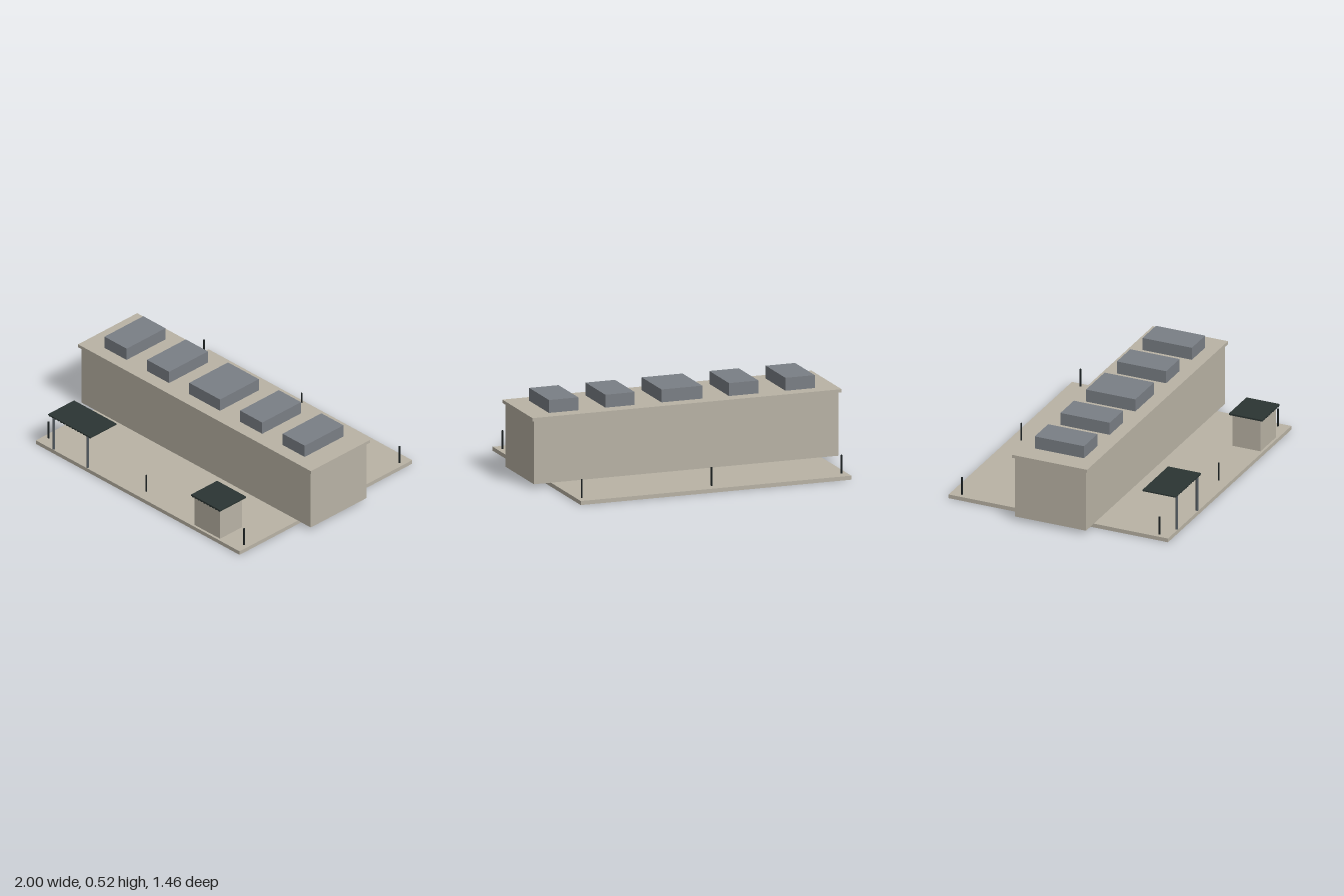
import * as THREE from 'three';

export function createModel() {
  const model = new THREE.Group();
  model.name = 'terminalBuilding';

  const material = (name, color) => {
    const m = new THREE.MeshStandardMaterial({ color });
    m.name = name;
    return m;
  };
  const concrete = material('concrete', 0xb9b3a5);
  const greyMetal = material('grey metal', 0x7a7f85);
  const darkRoof = material('dark roofing', 0x2b3533);
  const postSteel = material('post steel', 0x555c62);
  const black = material('black', 0x1b2122);

  // Box given by its lower and upper limits on each axis
  const box = (name, mat, [x0, x1], [y0, y1], [z0, z1], parent = model) => {
    const mesh = new THREE.Mesh(new THREE.BoxGeometry(x1 - x0, y1 - y0, z1 - z0), mat);
    mesh.position.set((x0 + x1) / 2, (y0 + y1) / 2, (z0 + z1) / 2);
    mesh.name = name;
    parent.add(mesh);
    return mesh;
  };
  const post = (name, mat, radius, x, z, y0, y1, parent = model) => {
    const mesh = new THREE.Mesh(new THREE.CylinderGeometry(radius, radius, y1 - y0, 12), mat);
    mesh.position.set(x, (y0 + y1) / 2, z);
    mesh.name = name;
    parent.add(mesh);
  };

  // Flat roof sheet with fine ribs along its underside
  const ribbedRoof = (name, [x0, x1], [y0, y1], [z0, z1], parent) => {
    const roof = new THREE.Group();
    roof.name = name;
    parent.add(roof);
    const sheetBottom = y0 + 0.004;
    box('roofSheet', darkRoof, [x0, x1], [sheetBottom, y1], [z0, z1], roof);
    const count = Math.round((x1 - x0) / 0.024);
    const pitch = (x1 - x0) / count;
    for (let i = 0; i < count; i++) {
      const x = x0 + (i + 0.25) * pitch;
      box('roofRib', darkRoof, [x, x + pitch / 2], [y0, sheetBottom], [z0, z1], roof);
    }
  };

  // Paved base, main hall and overhanging roof slab
  box('base', concrete, [-0.875, 0.875], [0, 0.025], [-0.73, 0.73]);
  box('hall', concrete, [-0.985, 0.985], [0.025, 0.42], [-0.236, 0.236]);
  box('roofSlab', concrete, [-1, 1], [0.42, 0.44], [-0.25, 0.25]);

  // Rooftop units, the middle one wider
  for (const [x, width] of [[-0.765, 0.19], [-0.4, 0.19], [0, 0.264], [0.4, 0.19], [0.765, 0.19]]) {
    box('rooftopUnit', greyMetal, [x - width / 2, x + width / 2], [0.44, 0.52], [-0.164, 0.164]);
  }

  // Open shelter on two front posts
  const shelter = new THREE.Group();
  shelter.name = 'shelter';
  model.add(shelter);
  ribbedRoof('shelterRoof', [-0.77, -0.404], [0.249, 0.26], [0.51, 0.73], shelter);
  for (const x of [-0.731, -0.441]) post('shelterPost', postSteel, 0.008, x, 0.72, 0.025, 0.253, shelter);

  // Kiosk
  const kiosk = new THREE.Group();
  kiosk.name = 'kiosk';
  model.add(kiosk);
  box('kioskBody', concrete, [0.472, 0.692], [0.025, 0.232], [0.528, 0.714], kiosk);
  ribbedRoof('kioskRoof', [0.459, 0.708], [0.229, 0.243], [0.51, 0.73], kiosk);

  // Bollards along the front and back edges
  for (const x of [-0.84, 0, 0.84]) {
    for (const z of [-0.657, 0.657]) post('bollard', black, 0.0055, x, z, 0.025, 0.14);
  }

  return model;
}
